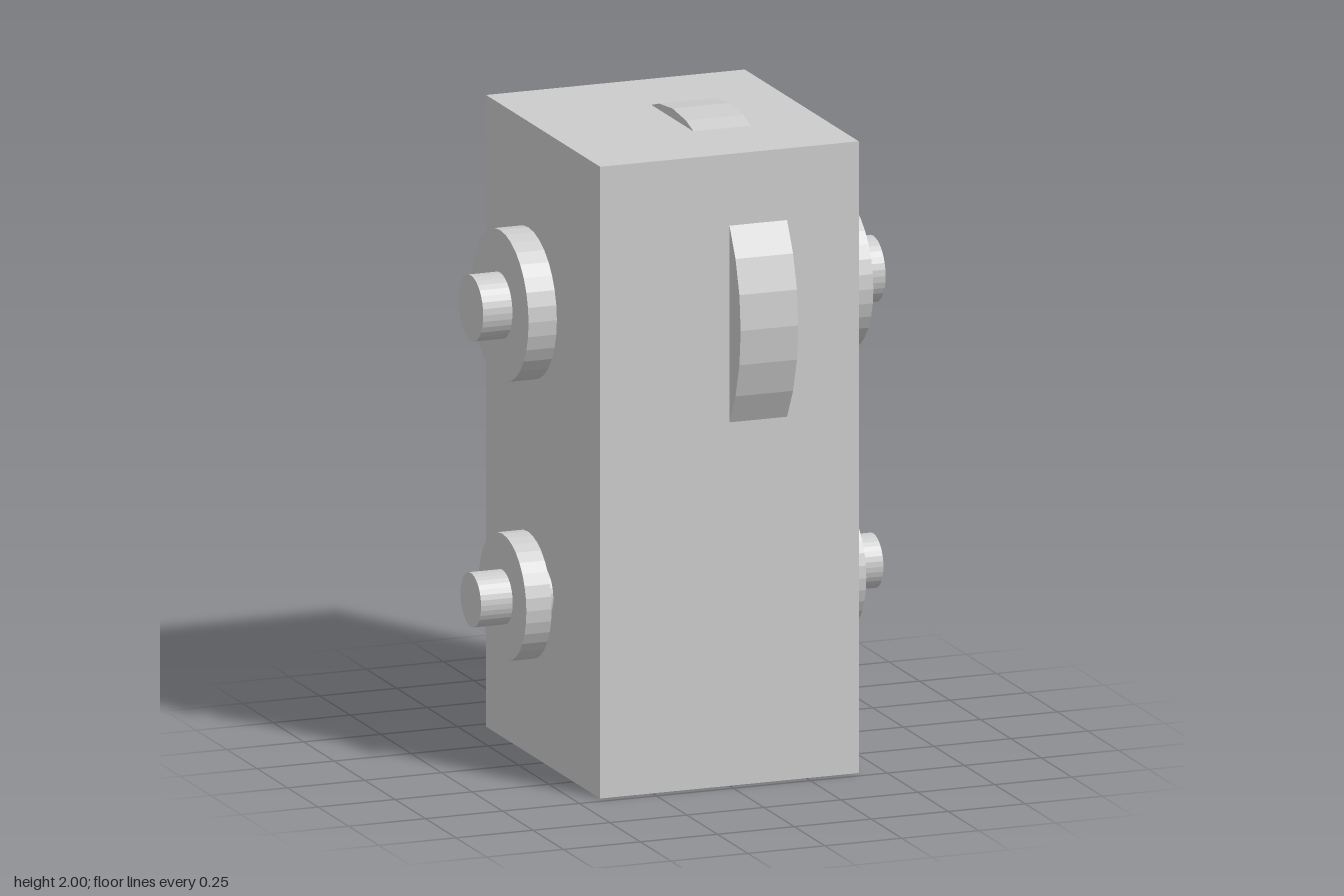
import * as THREE from 'three';

export function createModel() {
  const model = new THREE.Group();
  const material = new THREE.MeshStandardMaterial({ color: 0xcccccc, flatShading: true });

  const add = (name, geometry, x, y) => {
    const mesh = new THREE.Mesh(geometry, material);
    mesh.name = name;
    mesh.position.set(x, y, 0);
    model.add(mesh);
  };

  // Cylinder lying along x, from x0 to x1
  const disc = (name, radius, x0, x1, y) =>
    add(name, new THREE.CylinderGeometry(radius, radius, x1 - x0, 32).rotateZ(Math.PI / 2), (x0 + x1) / 2, y);

  // Housing
  add('housing', new THREE.BoxGeometry(0.84, 1.97, 0.936), 0, 0.985);

  // Large wheel that breaks through the front, back and top
  disc('mainWheel', 0.56, 0, 0.187, 1.44);

  // Through axles, each with a collar on both sides
  const shafts = [
    { name: 'upper', y: 1.44, axle: 0.102, collar: 0.234, inner: 0.468, outer: 0.56 },
    { name: 'lower', y: 0.53, axle: 0.084, collar: 0.196, inner: 0.47, outer: 0.552 },
  ];
  for (const s of shafts) {
    disc(s.name + 'Axle', s.axle, -0.655, 0.652, s.y);
    disc(s.name + 'LeftCollar', s.collar, s.inner, s.outer, s.y);
    disc(s.name + 'RightCollar', s.collar, -s.outer, -s.inner, s.y);
  }
  return model;
}
